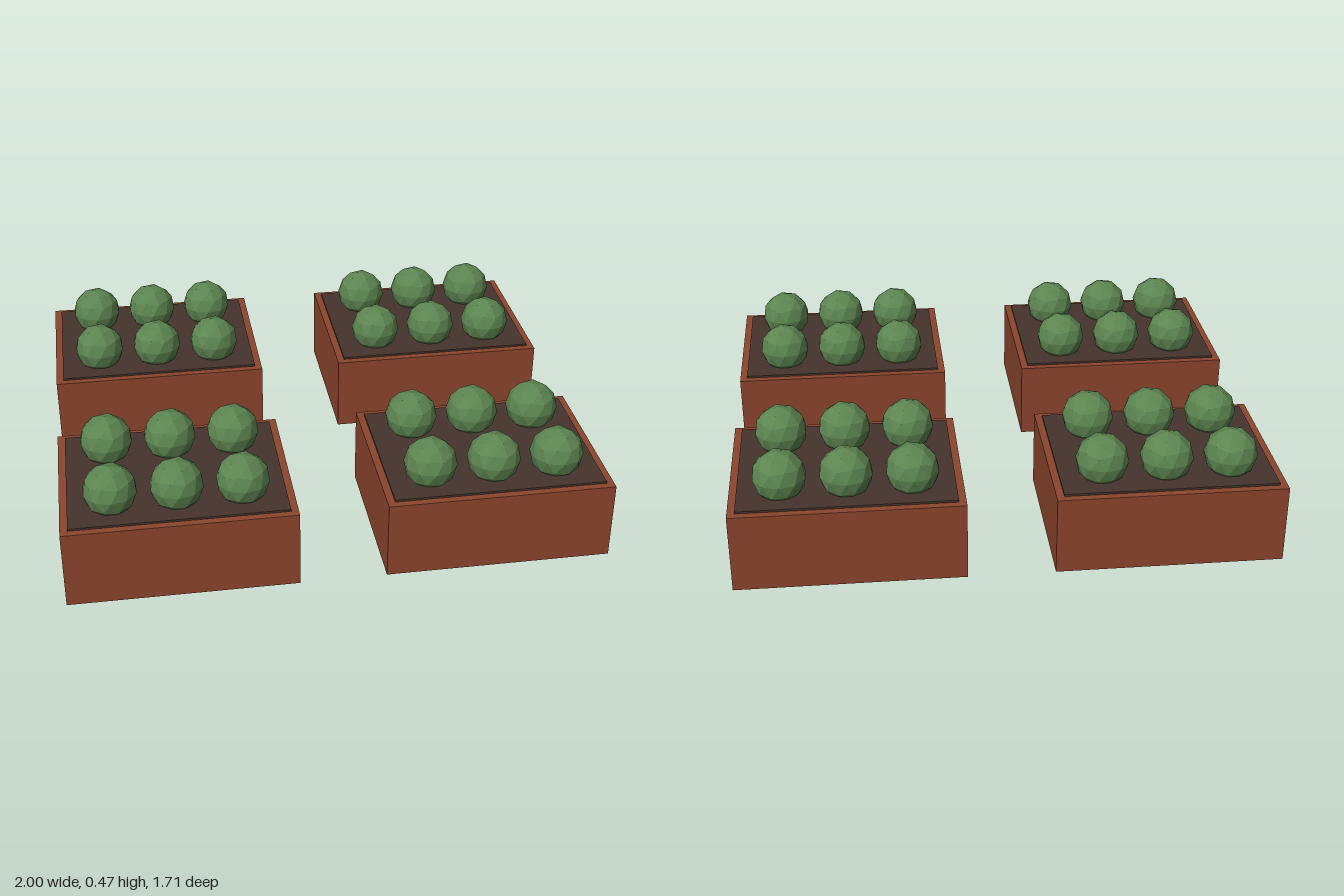
import * as THREE from 'three';

const material = (name, color) => {
  const m = new THREE.MeshStandardMaterial({ color, flatShading: true });
  m.name = name;
  return m;
};

const part = (name, geometry, mat, x, y, z) => {
  const mesh = new THREE.Mesh(geometry, mat);
  mesh.name = name;
  mesh.position.set(x, y, z);
  return mesh;
};

export function createModel() {
  const wood = material('terracotta wood', 0x8b452c);
  const earth = material('dark soil', 0x46332c);
  const leaf = material('leaf green', 0x5c8550);

  const boxGeometry = new THREE.BoxGeometry(0.84, 0.3, 0.655);
  const soilGeometry = new THREE.BoxGeometry(0.785, 0.03, 0.6);

  // Low-poly ball turned so one of its corners points straight up
  const plantGeometry = new THREE.IcosahedronGeometry(0.0985, 1);
  plantGeometry.rotateZ(-Math.atan(2 / (1 + Math.sqrt(5))));

  const model = new THREE.Group();
  model.name = 'gardenBeds';

  // Four raised beds, each with two rows of three plants
  for (const sx of [-1, 1]) {
    for (const sz of [-1, 1]) {
      const bed = new THREE.Group();
      bed.name = 'raisedBed';
      bed.position.set(sx * 0.58, 0, sz * 0.5275);
      bed.add(part('planterBox', boxGeometry, wood, 0, 0.15, 0));
      bed.add(part('soil', soilGeometry, earth, 0, 0.293, 0));
      for (const col of [-1, 0, 1]) {
        for (const row of [-1, 1]) {
          bed.add(part('plant', plantGeometry, leaf, col * 0.237, 0.37, row * 0.168));
        }
      }
      model.add(bed);
    }
  }
  return model;
}
